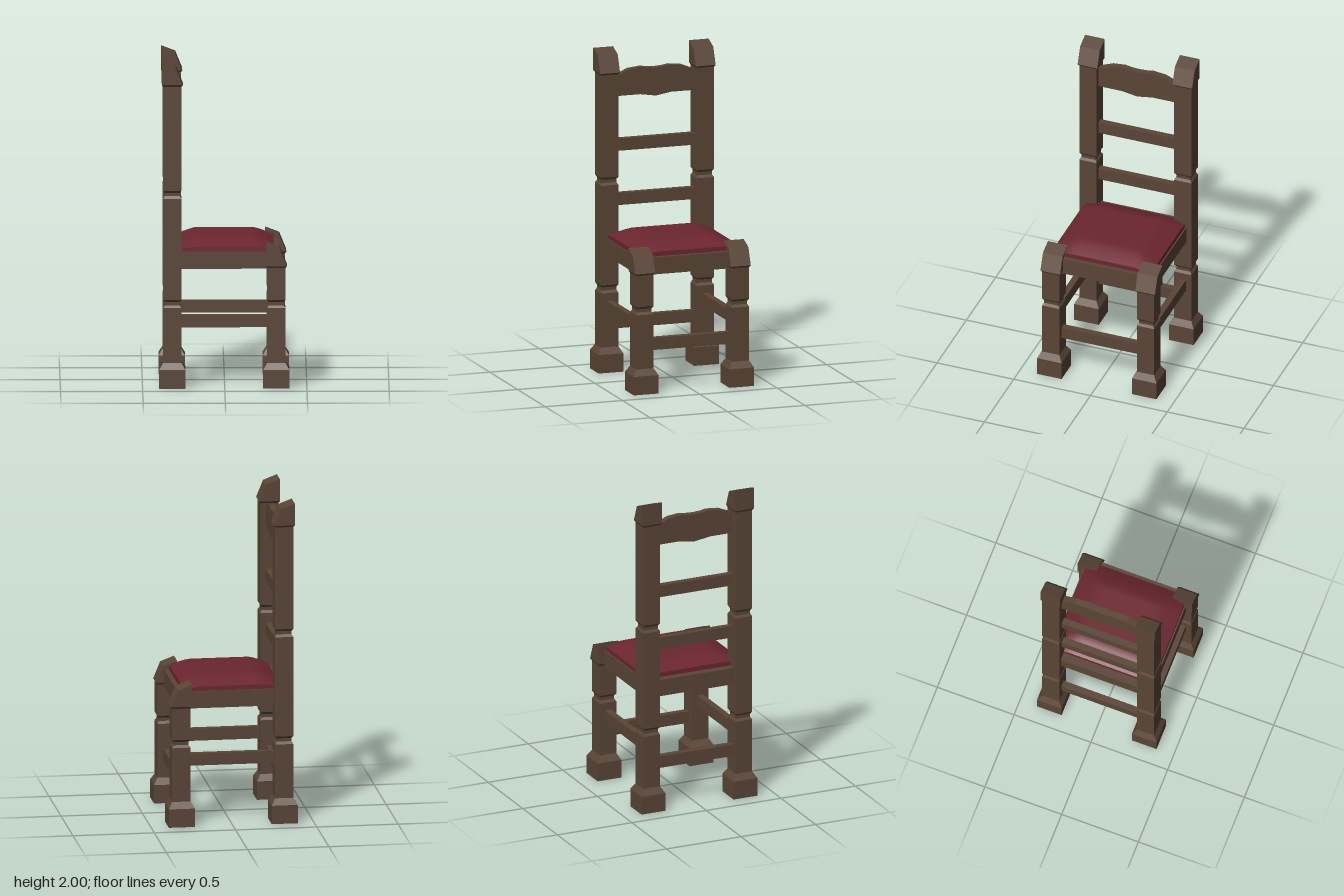
import * as THREE from 'three';

const wood = new THREE.MeshStandardMaterial({ color: 0x5a4536, flatShading: true });
const fabric = new THREE.MeshStandardMaterial({ color: 0x6b262f });

const LEG_Z = 0.309, BACK_X = -0.319, FRONT_X = 0.314;

function add(parent, name, geometry, material = wood) {
  const mesh = new THREE.Mesh(geometry, material);
  mesh.name = name;
  parent.add(mesh);
  return mesh;
}

function bar(parent, name, size, position) {
  add(parent, name, new THREE.BoxGeometry(...size)).position.set(...position);
}

// Square post: foot, turned notches and a slanted cap starting at capY
function post(name, x, z, notches, capY) {
  const group = new THREE.Group();
  group.name = name;
  group.position.set(x, 0, z);

  // pairs of half-width and height, swept with four sides
  const profile = [[0, 0], [0.08, 0], [0.08, 0.115], [0.056, 0.155]];
  for (const y of notches) {
    profile.push([0.056, y - 0.026], [0.046, y - 0.01], [0.046, y + 0.01], [0.056, y + 0.024]);
  }
  profile.push([0.056, capY - 0.012], [0.064, capY], [0, capY]);
  const points = profile.map(([w, y]) => new THREE.Vector2(w * Math.SQRT2, y));
  add(group, 'shaft', new THREE.LatheGeometry(points, 4, Math.PI / 4));

  const shape = new THREE.Shape([
    [-0.064, 0], [0.064, 0], [0.021, 0.105], [-0.064, 0.137],
  ].map(([px, py]) => new THREE.Vector2(px, py)));
  const cap = new THREE.ExtrudeGeometry(shape, { depth: 0.128, bevelEnabled: false });
  add(group, 'cap', cap.translate(0, capY, -0.064));
  return group;
}

// Padded seat: a box whose top falls away toward the edges
function cushionGeometry() {
  const geometry = new THREE.BoxGeometry(0.6, 0.08, 0.65, 20, 1, 20);
  const pos = geometry.attributes.position;
  for (let i = 0; i < pos.count; i++) {
    if (pos.getY(i) < 0) { pos.setY(i, 0.825); continue; }
    const ex = Math.max((Math.abs(pos.getX(i)) - 0.18) / 0.12, 0);
    const ez = Math.max((Math.abs(pos.getZ(i)) - 0.19) / 0.135, 0);
    pos.setY(i, 0.91 - 0.047 * Math.min(1.3, Math.hypot(ex, ez)) ** 1.2);
  }
  geometry.computeVertexNormals();
  return geometry;
}

// Scalloped crest board, drawn across z and given thickness along x
function crestGeometry() {
  const half = [[0.09, 1.88], [0.17, 1.872], [0.26, 1.835], [0.26, 1.71], [0.1, 1.71]];
  const outline = [[0, 1.87], [0.05, 1.873], ...half, [0, 1.694],
    ...half.map(([a, y]) => [-a, y]).reverse(), [-0.05, 1.873]];
  const shape = new THREE.Shape(outline.map(([a, y]) => new THREE.Vector2(a, y)));
  const geometry = new THREE.ExtrudeGeometry(shape, { depth: 0.04, bevelEnabled: false });
  return geometry.translate(0, 0, -0.02).rotateY(Math.PI / 2).translate(-0.315, 0, 0);
}

export function createModel() {
  const chair = new THREE.Group();
  chair.name = 'chair';

  // Posts and side stretchers, mirrored across z
  for (const side of [-1, 1]) {
    chair.add(post('backPost', BACK_X, side * LEG_Z, [0.518, 1.19], 1.865));
    chair.add(post('frontLeg', FRONT_X, side * LEG_Z, [0.518], 0.75));
    bar(chair, 'sideStretcher', [0.54, 0.075, 0.04], [0, 0.407, side * LEG_Z]);
  }

  // Front and back stretchers
  for (const x of [BACK_X, FRONT_X]) {
    bar(chair, 'crossStretcher', [0.04, 0.075, 0.52], [x, 0.297, 0]);
  }

  // Seat base and cushion
  bar(chair, 'seatBase', [0.68, 0.105, 0.52], [-0.01, 0.7825, 0]);
  bar(chair, 'seatBaseSides', [0.53, 0.105, 0.668], [0, 0.7825, 0]);
  add(chair, 'cushion', cushionGeometry(), fabric);

  // Back slats and crest
  for (const y of [1.066, 1.405]) {
    bar(chair, 'backSlat', [0.04, 0.075, 0.52], [-0.315, y, 0]);
  }
  add(chair, 'crestRail', crestGeometry());

  return chair;
}
